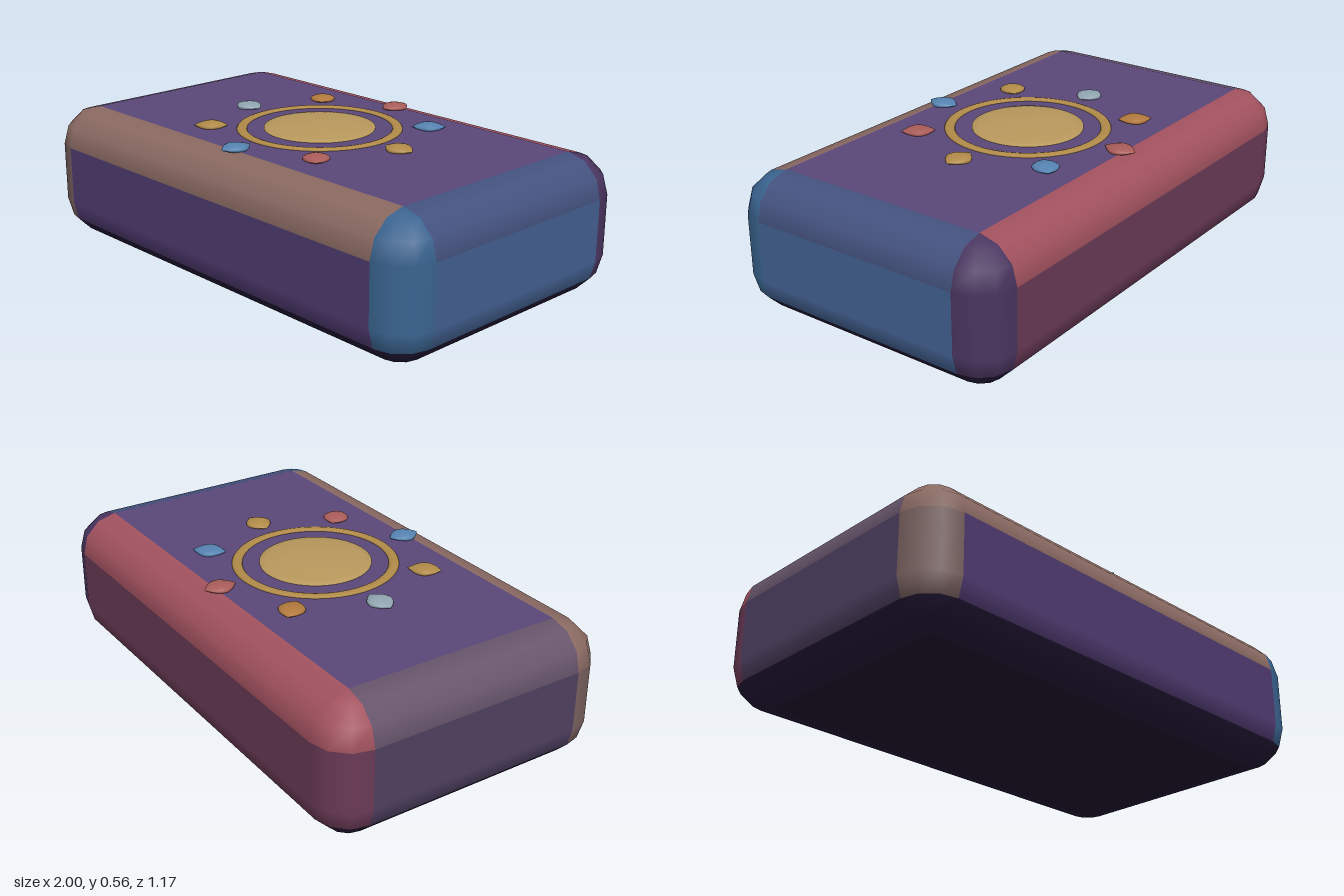
import * as THREE from 'three';

const HX = 1, HY = 0.267, HZ = 0.586, R = 0.15, TOP = HY * 2;

const mat = (color) => new THREE.MeshStandardMaterial({ color, roughness: 0.6 });

function addMesh(parent, name, geometry, color) {
  const mesh = new THREE.Mesh(geometry, mat(color));
  mesh.name = name;
  parent.add(mesh);
  return mesh;
}

// Rounded-box grid: arcs of 30 degree steps joined by flat spans.
const LAT = [-90, -60, -30, 0, 0, 30, 60, 90];

function boxPoint(row, col) {
  const q = Math.floor(col / 4) % 4;
  const a = THREE.MathUtils.degToRad(q * 90 + (col % 4) * 30);
  const b = THREE.MathUtils.degToRad(LAT[row]);
  const n = [Math.cos(b) * Math.cos(a), Math.sin(b), Math.cos(b) * Math.sin(a)];
  const sx = q === 0 || q === 3 ? 1 : -1, sz = q < 2 ? 1 : -1, sy = row < 4 ? -1 : 1;
  const p = [
    sx * (HX - R) + n[0] * R,
    HY + sy * (HY - R) + n[1] * R,
    sz * (HZ - R) + n[2] * R,
  ];
  return { p, n };
}

// A patch of the rounded shell, with smooth normals that match its neighbours.
function shellPatch(rowStart, rowEnd, colStart, colEnd) {
  const pos = [], nor = [], index = [];
  const w = colEnd - colStart + 1;
  for (let r = rowStart; r <= rowEnd; r++) {
    for (let c = colStart; c <= colEnd; c++) {
      const { p, n } = boxPoint(r, c);
      pos.push(...p);
      nor.push(...n);
      if (r < rowEnd && c < colEnd) {
        const i = (r - rowStart) * w + c - colStart;
        index.push(i, i + w, i + 1, i + w, i + w + 1, i + 1);
      }
    }
  }
  const g = new THREE.BufferGeometry();
  g.setAttribute('position', new THREE.Float32BufferAttribute(pos, 3));
  g.setAttribute('normal', new THREE.Float32BufferAttribute(nor, 3));
  g.setIndex(index);
  return g;
}

function createBody() {
  const body = new THREE.Group();
  body.name = 'body';
  const patches = [
    ['undersideEdge', 0, 2, 0, 16, 0x221836],
    ['frontRightCorner', 2, 7, 0, 3, 0x3a6490],
    ['frontWall', 2, 4, 3, 4, 0x4f3a70],
    ['frontTopEdge', 4, 7, 3, 7, 0x8a6a62],
    ['frontLeftCorner', 2, 4, 4, 7, 0x78605f],
    ['leftWall', 2, 4, 7, 8, 0x4e3f60],
    ['leftTopEdge', 4, 7, 7, 8, 0x66536a],
    ['backWall', 2, 4, 8, 12, 0x6a3a56],
    ['backTopEdge', 4, 7, 8, 12, 0xa2525f],
    ['backRightCorner', 2, 7, 12, 15, 0x4a3560],
    ['rightWall', 2, 4, 15, 16, 0x426090],
    ['rightTopEdge', 4, 7, 15, 16, 0x44527f],
  ];
  for (const [name, r0, r1, c0, c1, color] of patches) {
    addMesh(body, name, shellPatch(r0, r1, c0, c1), color);
  }
  // Flat top and bottom panels
  const panel = () => new THREE.PlaneGeometry(2 * (HX - R), 2 * (HZ - R));
  addMesh(body, 'topPanel', panel().rotateX(-Math.PI / 2).translate(0, TOP, 0), 0x5a4678);
  addMesh(body, 'bottomPanel', panel().rotateX(Math.PI / 2), 0x1e1630);
  return body;
}

function createEmblem() {
  const emblem = new THREE.Group();
  emblem.name = 'sunEmblem';
  emblem.position.y = TOP;

  // Shallow domed disc
  const dome = [];
  for (let i = 0; i <= 8; i++) {
    const t = i / 8;
    dome.push(new THREE.Vector2(0.215 * (1 - t), 0.005 + 0.016 * (1 - (1 - t) ** 2)));
  }
  dome.unshift(new THREE.Vector2(0.215, -0.005));
  addMesh(emblem, 'sunDisc', new THREE.LatheGeometry(dome, 48), 0xb8985c);

  // Flattened ring around the disc
  const ring = new THREE.TorusGeometry(0.3, 0.02, 10, 64).rotateX(Math.PI / 2).scale(1, 0.4, 1);
  addMesh(emblem, 'sunRing', ring, 0xb08a48);

  // Eight pointed gems, lying along the rays
  const profile = [];
  for (let i = 0; i <= 10; i++) {
    const t = i / 5 - 1;
    profile.push(new THREE.Vector2(0.051 * (1 - Math.abs(t) ** 1.8), t * 0.066));
  }
  const gem = new THREE.LatheGeometry(profile, 16).rotateZ(-Math.PI / 2).scale(1, 0.32, 1);
  const colors = [0xb08a48, 0xa85c58, 0x5582b0, 0xb08a48, 0x8fa4b0, 0xb0783c, 0xa85c58, 0x5582b0];
  colors.forEach((color, i) => {
    const a = (i * Math.PI) / 4;
    const m = addMesh(emblem, 'rayGem' + (i + 1), gem, color);
    m.position.set(0.42 * Math.cos(a), 0.006, 0.42 * Math.sin(a));
    m.rotation.y = -a;
  });
  return emblem;
}

export function createModel() {
  const model = new THREE.Group();
  model.name = 'decoratedBox';
  model.add(createBody(), createEmblem());
  return model;
}
